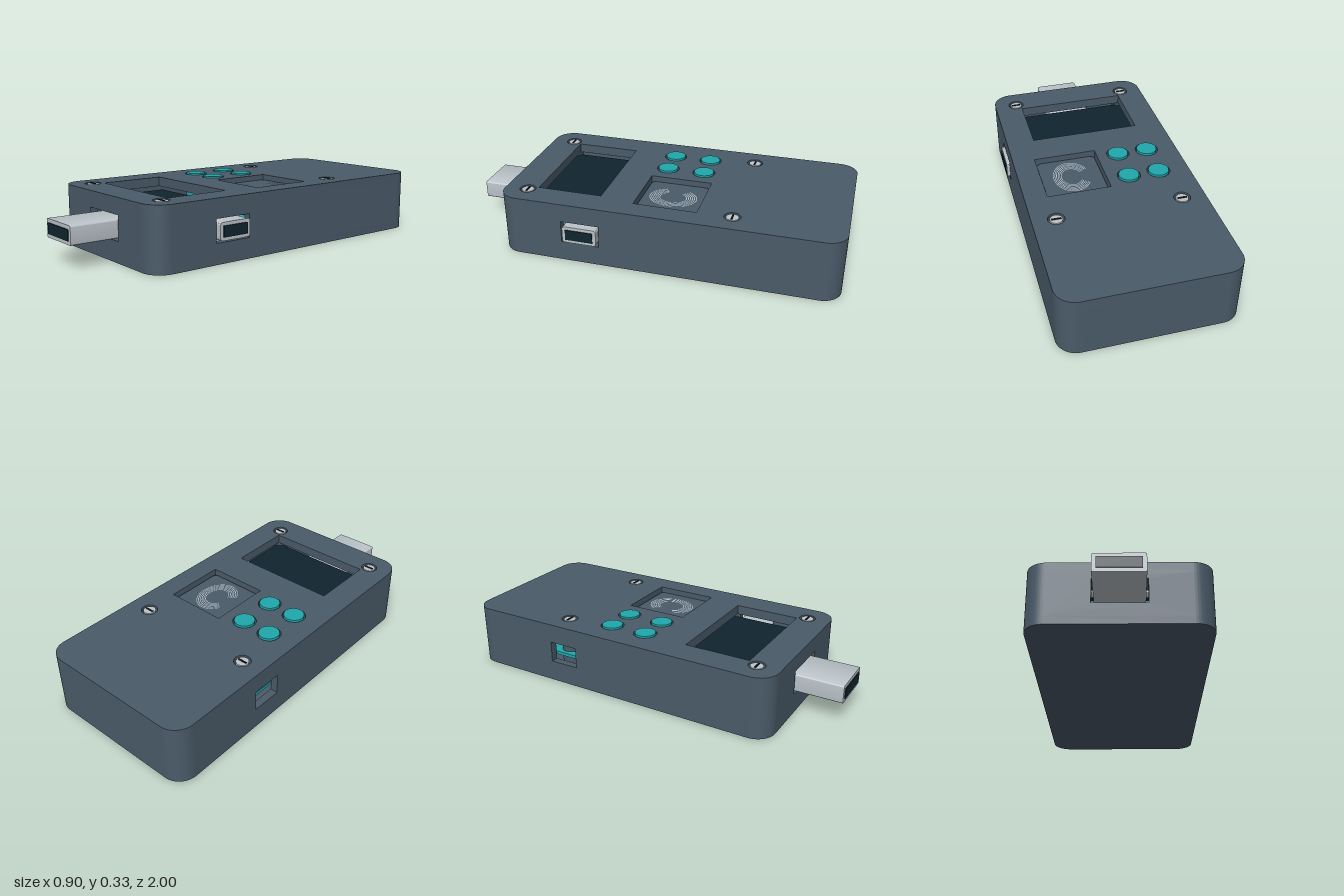
import * as THREE from 'three';
import { toCreasedNormals } from 'three/addons/utils/BufferGeometryUtils.js';

const material = (name, color) => {
  const m = new THREE.MeshStandardMaterial({ color });
  m.name = name;
  return m;
};

// Case extents, corner radius and wall thickness
const X0 = -0.45, X1 = 0.427, Z0 = -1, Z1 = 0.755, R = 0.1, T = 0.04;
const FLOOR = 0.04, LID = 0.27, TOP = 0.32;

// Rounded rectangle drawn in two axes
function roundRect(x0, x1, y0, y1, r, Kind = THREE.Shape) {
  const s = new Kind();
  s.moveTo(x0 + r, y0);
  s.lineTo(x1 - r, y0);
  s.absarc(x1 - r, y0 + r, r, -Math.PI / 2, 0, false);
  s.lineTo(x1, y1 - r);
  s.absarc(x1 - r, y1 - r, r, 0, Math.PI / 2, false);
  s.lineTo(x0 + r, y1);
  s.absarc(x0 + r, y1 - r, r, Math.PI / 2, Math.PI, false);
  s.lineTo(x0, y0 + r);
  s.absarc(x0 + r, y0 + r, r, Math.PI, Math.PI * 1.5, false);
  return s;
}

function rect(x0, x1, y0, y1, Kind = THREE.Shape) {
  return new Kind([[x0, y0], [x1, y0], [x1, y1], [x0, y1]].map(p => new THREE.Vector2(...p)));
}

function circleHole(x, z, r) {
  const p = new THREE.Path();
  p.absarc(x, -z, r, 0, Math.PI * 2, false);
  return p;
}

const extrude = (shape, depth) => toCreasedNormals(
  new THREE.ExtrudeGeometry(shape, { depth, bevelEnabled: false, curveSegments: 14 }), 0.6);

// Horizontal plate: the shape's second axis is -z
const slab = (shape, y0, y1) => extrude(shape, y1 - y0).rotateX(-Math.PI / 2).translate(0, y0, 0);

export function createModel() {
  const slate = material('slate case', 0x4a5b69);
  const silver = material('silver metal', 0xbcc4ca);
  const dark = material('dark glass', 0x10252f);
  const teal = material('teal', 0x20a7ac);
  const black = material('black slot', 0x15191c);

  const model = new THREE.Group();
  model.name = 'handheldDevice';
  const add = (name, geometry, mat, parent = model) => {
    const mesh = new THREE.Mesh(geometry, mat);
    mesh.name = name;
    parent.add(mesh);
    return mesh;
  };
  const box = (name, mat, x0, x1, y0, y1, z0, z1) => add(name,
    new THREE.BoxGeometry(x1 - x0, y1 - y0, z1 - z0)
      .translate((x0 + x1) / 2, (y0 + y1) / 2, (z0 + z1) / 2), mat);
  const disc = (name, mat, x, z, r, y0, y1) => add(name,
    new THREE.CylinderGeometry(r, r, y1 - y0, 32).translate(x, (y0 + y1) / 2, z), mat);

  const buttons = [-0.29, -0.13].flatMap(x => [-0.2, 0].map(z => [x, z]));
  const screws = [-0.33, 0.307].flatMap(x => [-0.445, 0.635].map(z => [x, z]));

  // Floor and lid, the lid cut for the screen, sensor, buttons and screws
  add('floor', slab(roundRect(X0, X1, -Z1, -Z0, R), 0, FLOOR), slate);
  const lid = roundRect(X0, X1, -Z1, -Z0, R);
  lid.holes.push(
    rect(-0.303, 0.28, -0.585, -0.242, THREE.Path),
    rect(-0.016, 0.312, -0.06, 0.268, THREE.Path),
    ...buttons.map(([x, z]) => circleHole(x, z, 0.06)),
    ...screws.map(([x, z]) => circleHole(x, z, 0.042)));
  add('lid', slab(lid, LID, TOP), slate);

  // Rounded corner walls
  [[X1 - R, Z0 + R], [X0 + R, Z0 + R], [X0 + R, Z1 - R], [X1 - R, Z1 - R]].forEach(([x, z], i) => {
    const a = i * Math.PI / 2, b = a + Math.PI / 2;
    const s = new THREE.Shape();
    s.absarc(x, -z, R, a, b, false);
    s.absarc(x, -z, R - T, b, a, true);
    add('cornerWall', slab(s, FLOOR, LID), slate);
  });

  // Straight walls with port openings
  const wall = (u0, u1, hole) => {
    const s = rect(u0, u1, FLOOR, LID);
    if (hole) s.holes.push(rect(...hole, THREE.Path));
    return extrude(s, T);
  };
  add('frontWall', wall(X0 + R, X1 - R, [-0.142, 0.12, 0.108, 0.235]).translate(0, 0, Z1 - T), slate);
  add('backWall', wall(X0 + R, X1 - R).translate(0, 0, Z0), slate);
  add('leftWall', wall(R - Z1, -Z0 - R, [-0.41, -0.208, 0.105, 0.222])
    .rotateY(Math.PI / 2).translate(X1 - T, 0, 0), slate);
  add('rightWall', wall(R - Z1, -Z0 - R, [0.327, 0.485, 0.11, 0.22])
    .rotateY(Math.PI / 2).translate(X0, 0, 0), slate);

  // Inside: battery, circuit board and screen module
  box('battery', silver, -0.25, 0.23, 0.045, 0.117, -0.5, 0.69);
  box('circuitBoard', teal, -0.4, 0.377, 0.13, 0.147, -0.94, 0.7);
  box('screen', dark, -0.32, 0.3, 0.217, 0.245, 0.21, 0.61);

  // Plug and side socket: metal sleeve around a dark core that stands slightly proud
  const port = (name, w, h, length, rim, coreW, coreH) => {
    const g = new THREE.Group();
    g.name = name;
    const sleeve = roundRect(-w / 2, w / 2, -h / 2, h / 2, rim);
    sleeve.holes.push(rect(-coreW / 2, coreW / 2, -coreH / 2, coreH / 2, THREE.Path));
    add(name + 'Sleeve', extrude(sleeve, length), silver, g);
    add(name + 'Core', new THREE.BoxGeometry(coreW, coreH, length)
      .translate(0, 0, length / 2 + 0.005), dark, g);
    model.add(g);
    return g;
  };
  port('plug', 0.238, 0.093, 0.445, 0.008, 0.2, 0.055).position.set(-0.011, 0.167, 0.55);
  const socket = port('sideSocket', 0.18, 0.09, 0.132, 0.014, 0.145, 0.056);
  socket.position.set(0.31, 0.16, 0.308);
  socket.rotation.y = Math.PI / 2;

  // Push buttons
  for (const [x, z] of buttons) disc('button', teal, x, z, 0.053, 0.147, 0.327);

  // Slotted screws on posts
  for (const [x, z] of screws) {
    disc('screwPost', slate, x, z, 0.048, FLOOR, LID + 0.01);
    disc('screwHead', silver, x, z, 0.032, LID, 0.318);
    box('screwSlot', black, x - 0.024, x + 0.024, 0.316, 0.322, z - 0.004, z + 0.004);
  }

  // Touch sensor pad with curved ridges
  add('sensorPad', slab(roundRect(-0.009, 0.305, -0.053, 0.261, 0.025), 0.16, 0.292), slate);
  for (let i = 0; i < 6; i++) {
    const r = 0.07 + i * 0.0105;
    const ridge = new THREE.RingGeometry(r - 0.002, r + 0.002, 48, 1, -2.7, 5.25)
      .scale(0.78, 1, 1).rotateX(-Math.PI / 2).translate(0.148, 0.2945, -0.104);
    add('sensorRidge', ridge, silver);
  }
  return model;
}
